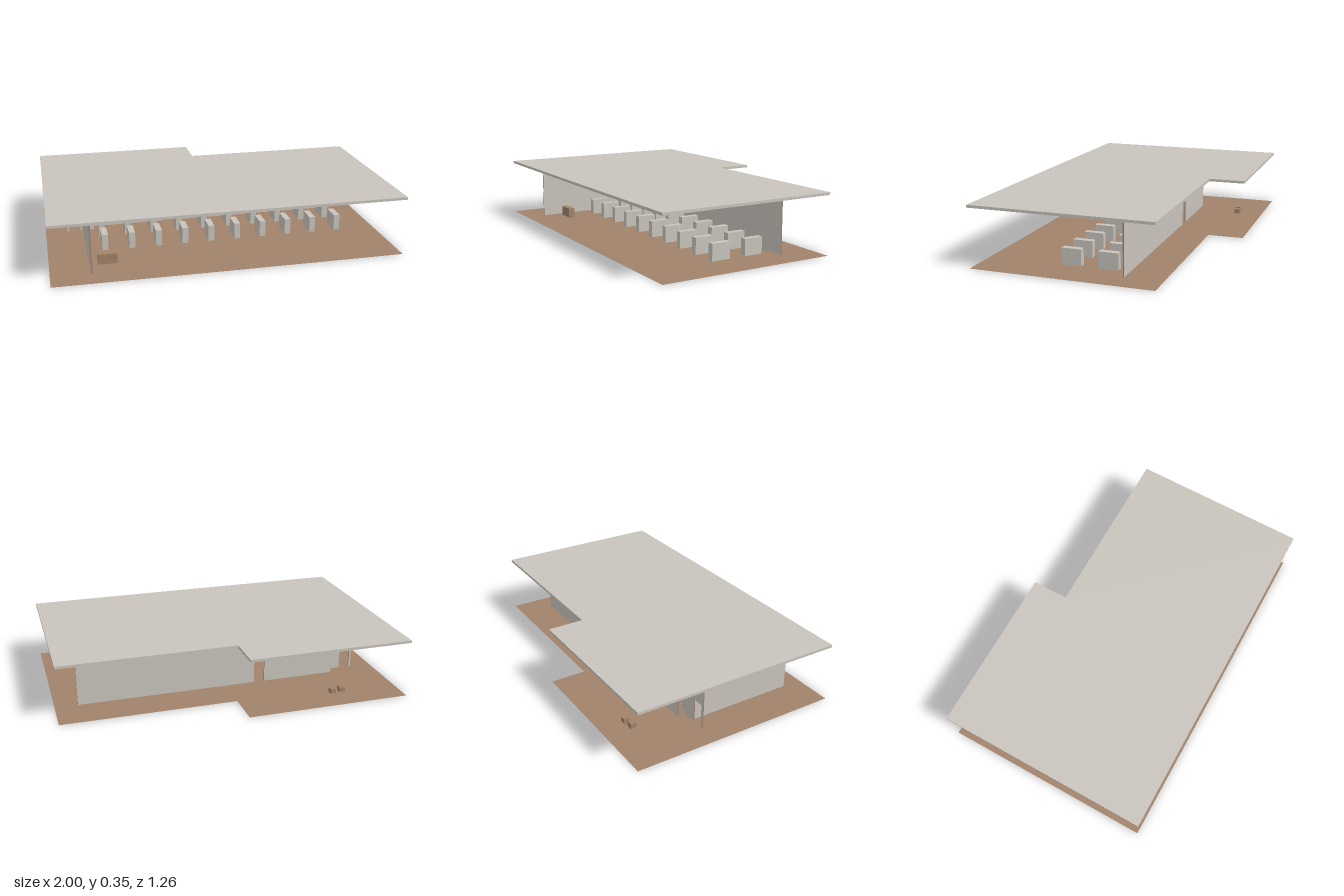
import * as THREE from 'three';

export function createModel() {
  const model = new THREE.Group();
  const stone = new THREE.MeshStandardMaterial({ color: 0xc8c3bb });
  stone.name = 'pale stone';
  const wood = new THREE.MeshStandardMaterial({ color: 0xa0826a, side: THREE.DoubleSide });
  wood.name = 'brown wood';

  const add = (name, geometry, material, x = 0, y = 0, z = 0, parent = model) => {
    const mesh = new THREE.Mesh(geometry, material);
    mesh.name = name;
    mesh.position.set(x, y, z);
    parent.add(mesh);
    return mesh;
  };
  const outline = (points) => new THREE.Shape(points.map(([x, y]) => new THREE.Vector2(x, y)));

  // Stepped footprint shared by floor and roof, as (x, -z)
  const footprint = outline([
    [-1, -0.615], [0, -0.622], [1, -0.625], [1, 0.412],
    [-0.025, 0.415], [-0.027, 0.627], [-1, 0.632],
  ]);

  // Floor: a thin sheet
  add('floor', new THREE.ShapeGeometry(footprint), wood, 0, 0.001).rotation.x = -Math.PI / 2;

  // Flat overhanging roof slab
  const roof = new THREE.ExtrudeGeometry(footprint, { depth: 0.015, bevelEnabled: false });
  add('roof', roof, stone, 0, 0.335).rotation.x = -Math.PI / 2;

  // Thin walls with brown edges, and an optional doorway from d0 to d1
  const thickness = 0.007, base = 0.002, top = 0.335, doorTop = 0.142;
  const wall = (name, a, b, door) => {
    const gap = door
      ? [[door[0], base], [door[0], doorTop], [door[1], doorTop], [door[1], base]]
      : [];
    const shape = outline([[a, base], ...gap, [b, base], [b, top], [a, top]]);
    const geometry = new THREE.ExtrudeGeometry(shape, { depth: thickness, bevelEnabled: false });
    geometry.translate(0, 0, -thickness / 2);
    return add(name, geometry, [stone, wood]);
  };
  wall('backWall', -0.71, 0.867, [-0.268, -0.203]).position.z = -0.197;
  wall('entranceWall', -0.87, -0.708, [-0.857, -0.79]).position.z = -0.147;
  const side = wall('sideWall', -0.497, 0.1435);
  side.rotation.y = Math.PI / 2;
  side.position.x = -0.774;

  // Two rows of ten shelving blocks
  const shelves = new THREE.Group();
  shelves.name = 'shelves';
  model.add(shelves);
  const shelf = new THREE.BoxGeometry(0.036, 0.097, 0.114);
  for (const z of [0.134, -0.078]) {
    for (let i = 0; i < 10; i++) add('shelf', shelf, stone, -0.669 + i * 0.1588, 0.0485, z, shelves);
  }

  // Counter near the open front
  add('counter', new THREE.BoxGeometry(0.11, 0.06, 0.038), wood, -0.675, 0.03, 0.364);

  // Two small seats under the rear canopy
  const seat = new THREE.BoxGeometry(0.034, 0.03, 0.034);
  add('seat', seat, wood, -0.6, 0.015, -0.468);
  add('seat', seat, wood, -0.66, 0.015, -0.461);

  return model;
}
